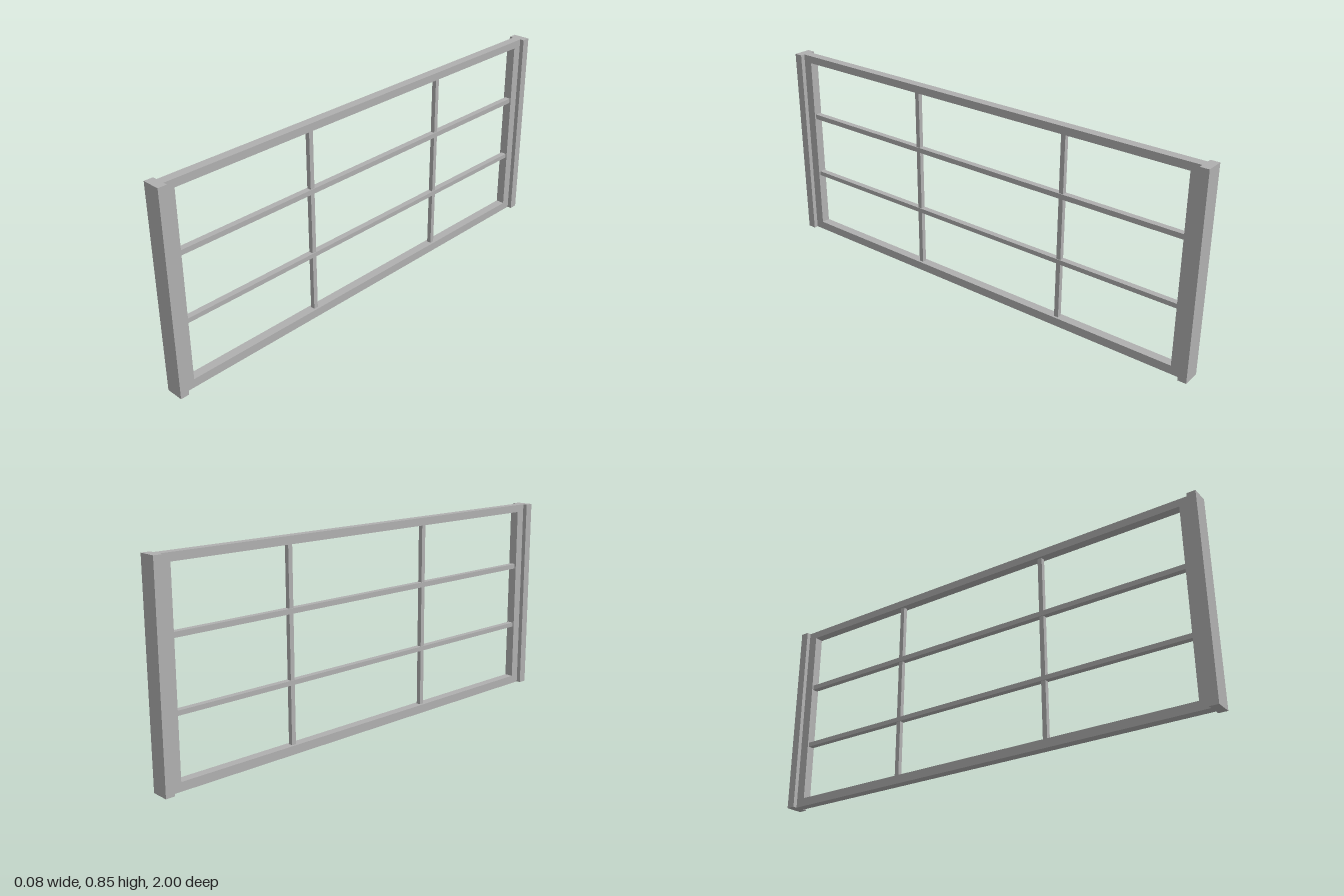
import * as THREE from 'three';

const HEIGHT = 0.845;
const POST_INNER = 0.964; // where the frame meets the end posts

export function createModel() {
  const model = new THREE.Group();
  model.name = 'windowFrame';
  const grey = new THREE.MeshStandardMaterial({ color: 0xb0b0b0 });
  grey.name = 'grey';

  function bar(name, sx, sy, sz, y, z) {
    const mesh = new THREE.Mesh(new THREE.BoxGeometry(sx, sy, sz), grey);
    mesh.name = name;
    mesh.position.set(0, y, z);
    model.add(mesh);
  }

  // End posts, wider than the frame
  const postDepth = 1 - POST_INNER;
  bar('frontPost', 0.075, HEIGHT, postDepth, HEIGHT / 2, 1 - postDepth / 2);
  bar('backPost', 0.075, HEIGHT, postDepth, HEIGHT / 2, -1 + postDepth / 2);

  // Outer frame: rectangle with one opening, turned to lie along z
  const opening = { half: 0.924, bottom: 0.036, top: 0.813 };
  const outline = new THREE.Shape([
    new THREE.Vector2(-POST_INNER, 0),
    new THREE.Vector2(POST_INNER, 0),
    new THREE.Vector2(POST_INNER, HEIGHT),
    new THREE.Vector2(-POST_INNER, HEIGHT),
  ]);
  outline.holes.push(new THREE.Path([
    new THREE.Vector2(-opening.half, opening.bottom),
    new THREE.Vector2(-opening.half, opening.top),
    new THREE.Vector2(opening.half, opening.top),
    new THREE.Vector2(opening.half, opening.bottom),
  ]));
  const thickness = 0.038;
  const frameGeometry = new THREE.ExtrudeGeometry(outline, { depth: thickness, bevelEnabled: false });
  frameGeometry.translate(0, 0, -thickness / 2);
  frameGeometry.rotateY(Math.PI / 2);
  const frame = new THREE.Mesh(frameGeometry, grey);
  frame.name = 'outerFrame';
  model.add(frame);

  // Horizontal glazing bars
  for (const [y, h] of [[0.285, 0.019], [0.562, 0.021]]) {
    bar('horizontalBar', 0.025, h, opening.half * 2, y, 0);
  }

  // Upright glazing bars
  const openingHeight = opening.top - opening.bottom;
  for (const z of [0.308, -0.407]) {
    bar('uprightBar', 0.019, openingHeight, 0.019, opening.bottom + openingHeight / 2, z);
  }

  return model;
}
